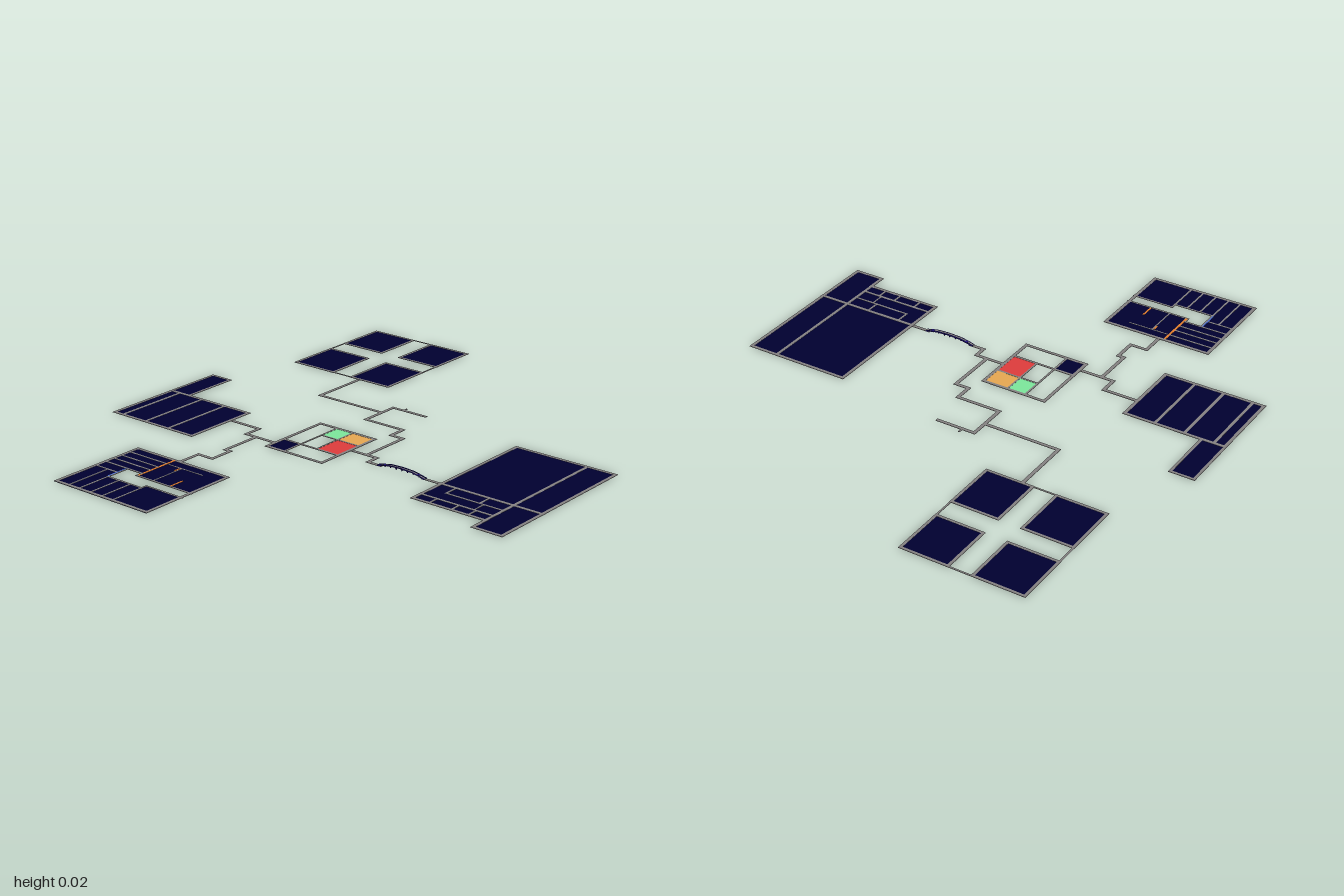
import * as THREE from 'three';

const mat = (name, color) => {
  const m = new THREE.MeshStandardMaterial({ color });
  m.name = name;
  return m;
};

export function createModel() {
  const grey = mat('wall grey', 0x858282), navy = mat('floor navy', 0x000030);
  const red = mat('room red', 0xdf3c3c), green = mat('room green', 0x7eea9e), amber = mat('room amber', 0xe8a852);
  const orange = mat('line orange', 0xe8802c), blue = mat('line blue', 0x4a70d8), violet = mat('bridge violet', 0x2a1a90);
  const root = new THREE.Group();
  const FLOOR = 0.002, TOP = 0.0026;

  const area = (name) => {
    const g = new THREE.Group();
    g.name = name;
    root.add(g);
    return g;
  };
  const slab = (g, name, m, x0, x1, z0, z1, y0 = 0, y1 = FLOOR) => {
    const mesh = new THREE.Mesh(new THREE.BoxGeometry(x1 - x0, y1 - y0, z1 - z0), m);
    mesh.position.set((x0 + x1) / 2, (y0 + y1) / 2, (z0 + z1) / 2);
    mesh.name = name;
    g.add(mesh);
  };
  // Strip of boxes following axis-aligned points [x, z]
  const strip = (g, name, pts, w = 0.014, m = grey, y0 = 0.001, y1 = TOP) => {
    for (let i = 1; i < pts.length; i++) {
      const [a, b] = pts[i - 1], [c, d] = pts[i], h = w / 2;
      slab(g, name, m, Math.min(a, c) - h, Math.max(a, c) + h, Math.min(b, d) - h, Math.max(b, d) + h, y0, y1);
    }
  };
  const frame = (g, x0, x1, z0, z1, w = 0.013) =>
    strip(g, 'outerWall', [[x0, z0], [x1, z0], [x1, z1], [x0, z1], [x0, z0]], w);
  const hLine = (g, z, x0, x1, w = 0.008, m = grey) => strip(g, 'innerWall', [[x0, z], [x1, z]], w, m);
  const vLine = (g, x, z0, z1, w = 0.008, m = grey) => strip(g, 'innerWall', [[x, z0], [x, z1]], w, m);

  // Back block with side wing
  const back = area('backBlock');
  slab(back, 'floor', navy, -0.39, -0.08, -0.905, -0.505);
  slab(back, 'wingFloor', navy, -0.08, 0.153, -0.905, -0.81);
  frame(back, -0.387, -0.081, -0.901, -0.504);
  strip(back, 'wingWall', [[-0.08, -0.902], [0.15, -0.902], [0.15, -0.811], [-0.08, -0.811]], 0.011);
  for (const z of [-0.858, -0.742, -0.625]) hLine(back, z, -0.387, -0.082, 0.011);

  // Right-hand block of four square floors
  const quad = area('fourCourtBlock');
  for (const [x0, x1] of [[0.475, 0.7], [0.782, 0.998]])
    for (const [z0, z1] of [[-0.757, -0.555], [-0.47, -0.278]]) {
      slab(quad, 'courtFloor', navy, x0, x1, z0, z1);
      frame(quad, x0 + 0.004, x1 - 0.004, z0 + 0.004, z1 - 0.004, 0.011);
    }
  frame(quad, 0.478, 0.996, -0.754, -0.281, 0.007);

  // Left block around an open yard
  const left = area('leftBlock');
  const ring = [[-1, -0.57], [-0.595, -0.57], [-0.595, -0.125], [-0.785, -0.125], [-0.785, -0.385], [-0.76, -0.385],
    [-0.76, -0.455], [-0.855, -0.455], [-0.855, -0.292], [-0.832, -0.292], [-0.832, -0.125], [-1, -0.125]];
  const shape = new THREE.Shape(ring.map(([x, z]) => new THREE.Vector2(x, -z)));
  const geo = new THREE.ExtrudeGeometry(shape, { depth: FLOOR - 0.0005, bevelEnabled: false });
  geo.rotateX(-Math.PI / 2);
  const leftFloor = new THREE.Mesh(geo, navy);
  leftFloor.position.y = 0.0005;
  leftFloor.name = 'floor';
  left.add(leftFloor);
  frame(left, -0.9935, -0.6, -0.565, -0.13);
  strip(left, 'yardWall', ring.slice(3, 11), 0.008);
  // Inner walls, each with a narrow orange line on the underside
  const rooms = [];
  for (const [z, x1] of [[-0.505, -0.81], [-0.455, -0.855], [-0.4, -0.855], [-0.345, -0.855], [-0.292, -0.832]])
    rooms.push([[-0.99, z], [x1, z]]);
  for (const [x, z1] of [[-0.807, -0.46], [-0.76, -0.385], [-0.72, -0.385], [-0.683, -0.385], [-0.642, -0.385]])
    rooms.push([[x, -0.56], [x, z1]]);
  for (const r of rooms) {
    strip(left, 'innerWall', r, 0.007);
    strip(left, 'underLine', r, 0.004, orange, 0, 0.0008);
  }
  hLine(left, -0.381, -0.78, -0.605, 0.009, orange);
  hLine(left, -0.307, -0.78, -0.645, 0.005);
  vLine(left, -0.642, -0.37, -0.21, 0.005);
  hLine(left, -0.226, -0.78, -0.725, 0.007, orange);
  strip(left, 'orangeMark', [[-0.67, -0.313], [-0.65, -0.313]], 0.006, orange, 0.001, 0.0029);
  strip(left, 'blueMark', [[-0.85, -0.459], [-0.765, -0.459]], 0.005, blue, 0.001, 0.0029);

  // Front block with small rooms
  const front = area('frontBlock');
  slab(front, 'floor', navy, -0.345, 0.27, 0.475, 0.9);
  slab(front, 'wingFloor', navy, -0.415, -0.345, 0.78, 0.9);
  strip(front, 'outerWall', [[-0.341, 0.781], [-0.341, 0.478], [0.266, 0.478], [0.266, 0.896],
    [-0.411, 0.896], [-0.411, 0.781], [-0.341, 0.781]], 0.013);
  hLine(front, 0.78, -0.341, 0.266, 0.012);
  vLine(front, -0.18, 0.478, 0.897, 0.013);
  vLine(front, -0.295, 0.478, 0.78, 0.01);
  vLine(front, -0.238, 0.542, 0.78);
  for (const z of [0.548, 0.64, 0.71]) hLine(front, z, -0.341, -0.295);
  for (const z of [0.542, 0.682]) hLine(front, z, -0.238, -0.18);
  hLine(front, 0.7, -0.295, -0.238, 0.006);

  // Central house with coloured rooms
  const house = area('centralHouse');
  slab(house, 'navyRoom', navy, -0.295, -0.2, -0.227, -0.142);
  slab(house, 'greenRoom', green, -0.083, 0.008, -0.142, -0.067);
  slab(house, 'redRoom', red, -0.2, -0.083, -0.067, 0.035);
  slab(house, 'amberRoom', amber, -0.083, 0.008, -0.067, 0.035);
  frame(house, -0.291, 0.006, -0.223, 0.034);
  vLine(house, -0.2, -0.223, 0.033, 0.01);
  vLine(house, -0.083, -0.142, 0.033, 0.008);
  hLine(house, -0.142, -0.291, 0.006, 0.008);
  hLine(house, -0.067, -0.2, 0.006, 0.007);

  // Flat paths joining the blocks
  const paths = area('paths');
  const routes = [
    [[-0.246, -0.227], [-0.246, -0.364], [-0.177, -0.364], [-0.177, -0.505]],
    [[-0.246, -0.316], [-0.41, -0.316], [-0.41, -0.293], [-0.503, -0.293], [-0.503, -0.36], [-0.595, -0.36]],
    [[-0.131, 0.037], [-0.131, 0.154], [-0.18, 0.154], [-0.18, 0.21]],
    [[-0.18, 0.4], [-0.18, 0.475]],
    [[-0.131, 0.108], [0.077, 0.108], [0.077, 0.053], [0.147, 0.053], [0.147, -0.122], [0.31, -0.122], [0.31, 0.03]],
    [[0.242, -0.122], [0.242, -0.424], [0.478, -0.424]],
  ];
  for (const r of routes) strip(paths, 'path', r, 0.014, grey, 0, 0.0015);
  slab(paths, 'pathStub', grey, 0.31, 0.333, -0.076, -0.069, 0, 0.0015);

  // Raised bridge: side profiles extruded across its width
  const bridge = area('bridge');
  const arc = [[0.2, 0.002], [0.225, 0.008], [0.255, 0.014], [0.305, 0.016], [0.355, 0.014], [0.385, 0.008], [0.41, 0.002]];
  const band = (name, m, x, w, lo, hi) => {
    const pts = [...arc.map(([z, y]) => [-z, y + hi]), ...arc.slice().reverse().map(([z, y]) => [-z, y + lo])];
    const g = new THREE.ExtrudeGeometry(new THREE.Shape(pts.map((p) => new THREE.Vector2(...p))), { depth: w, bevelEnabled: false });
    g.rotateY(Math.PI / 2);
    const mesh = new THREE.Mesh(g, m);
    mesh.position.x = x;
    mesh.name = name;
    bridge.add(mesh);
  };
  band('deck', grey, -0.186, 0.007, -0.001, 0.001);
  band('deckEdge', navy, -0.179, 0.004, -0.001, 0.001);
  band('underDeck', violet, -0.186, 0.011, -0.002, -0.001);
  for (const x of [-0.188, -0.175]) band('rail', violet, x, 0.002, -0.002, 0.002);
  // Row of pointed supports under the deck
  for (let i = 0; i < 7; i++) {
    const tooth = new THREE.Mesh(new THREE.ConeGeometry(0.009, 0.011, 4, 1), violet);
    tooth.rotation.x = Math.PI;
    tooth.scale.x = 0.7;
    tooth.position.set(-0.18, i % 6 ? 0.008 : 0.0055, 0.23 + i * 0.025);
    tooth.name = 'bridgeSupport';
    bridge.add(tooth);
  }
  return root;
}
